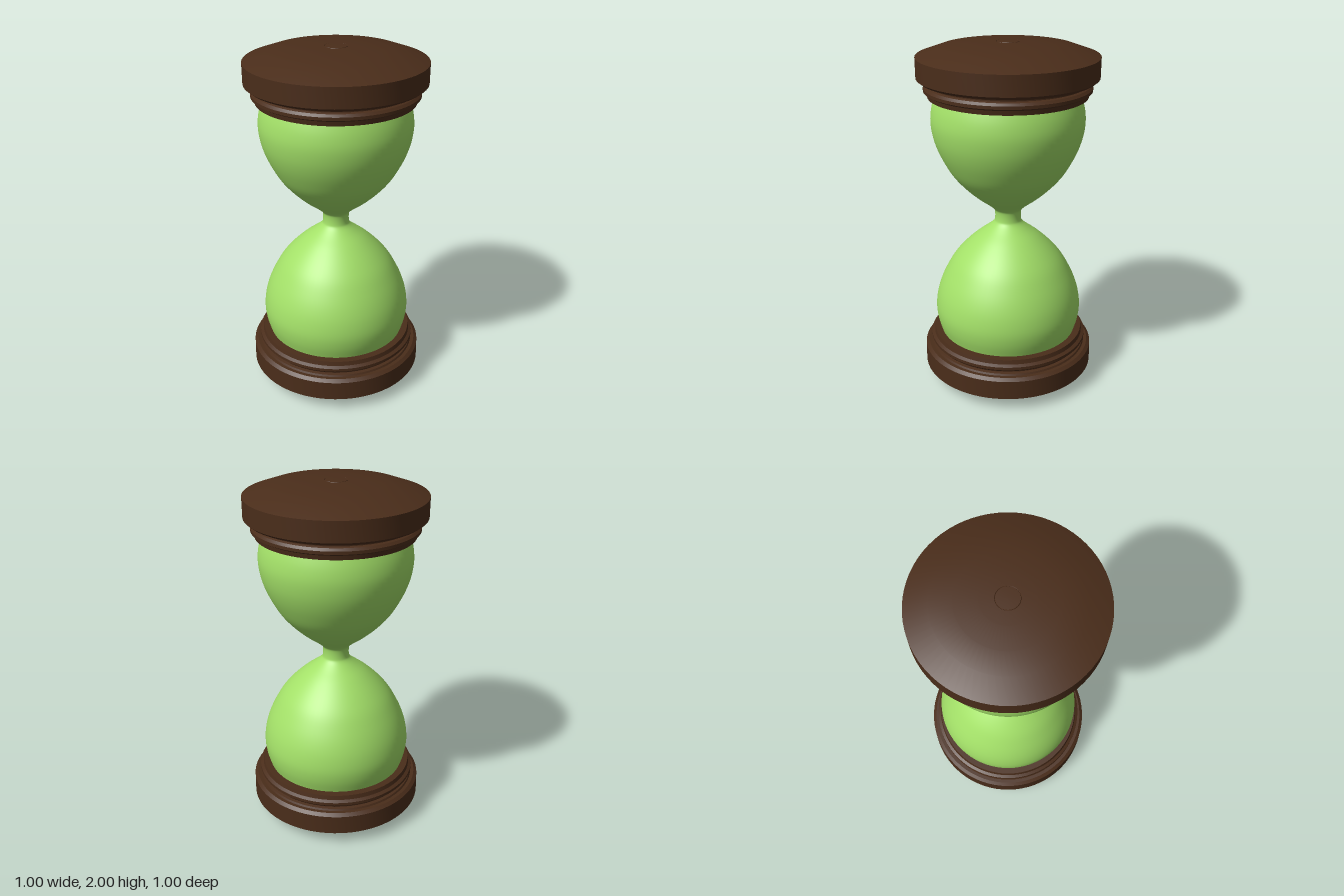
import * as THREE from 'three';
import { toCreasedNormals } from 'three/addons/utils/BufferGeometryUtils.js';

const SEGMENTS = 72;
const points = (list) => list.map(([r, y]) => new THREE.Vector2(r, y));

export function createModel() {
  const model = new THREE.Group();
  model.name = 'hourglass';
  const wood = new THREE.MeshStandardMaterial({ color: 0x4a2d1a });
  const glass = new THREE.MeshStandardMaterial({ color: 0xa3e068, side: THREE.DoubleSide });

  // Turned wooden cap, heights measured from the middle of the hourglass
  const capProfile = points([
    [0, 0.705], [0.44, 0.705], [0.445, 0.73], [0.462, 0.74], [0.462, 0.757], [0.45, 0.77],
    [0.438, 0.775], [0.438, 0.782], [0.455, 0.785], [0.46, 0.795], [0.48, 0.795],
    [0.499, 0.81], [0.5, 0.922], [0.375, 0.967], [0.26, 0.985], [0.14, 0.995],
    [0.064, 0.997], [0.062, 0.994], [0.06, 0.998], [0, 1],
  ]);
  const capGeometry = toCreasedNormals(new THREE.LatheGeometry(capProfile, SEGMENTS), 0.35);
  for (const [name, flip] of [['topCap', 0], ['bottomCap', Math.PI]]) {
    const cap = new THREE.Mesh(capGeometry, wood);
    cap.name = name;
    cap.position.y = 1;
    cap.rotation.x = flip;
    model.add(cap);
  }

  // Glass: one bulb outline mirrored about the narrow neck
  const half = [
    [0.075, 0.02], [0.084, 0.043], [0.12, 0.075], [0.185, 0.125], [0.255, 0.19], [0.315, 0.26],
    [0.36, 0.335], [0.395, 0.41], [0.418, 0.485], [0.428, 0.565], [0.42, 0.64], [0.4, 0.71],
  ];
  const outline = [
    ...half.map(([r, y]) => [r, 1.003 - y]).reverse(),
    ...half.map(([r, y]) => [r, 1.003 + y]),
  ];
  const curve = new THREE.SplineCurve(points(outline));
  const bulbs = new THREE.Mesh(new THREE.LatheGeometry(curve.getPoints(92), SEGMENTS), glass);
  bulbs.name = 'glassBulbs';
  model.add(bulbs);

  return model;
}
